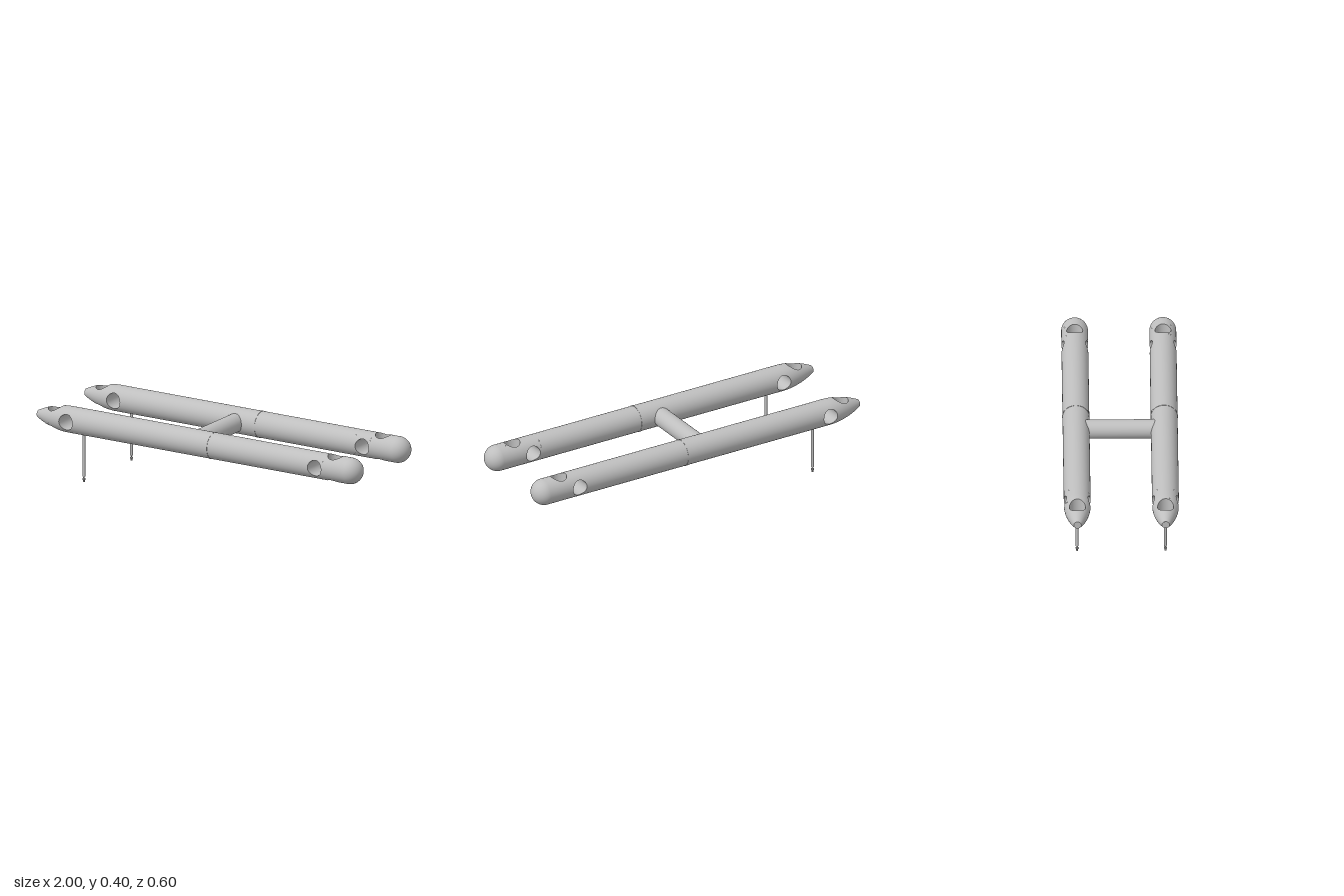
import * as THREE from 'three';

const grey = new THREE.MeshStandardMaterial({ color: 0xbfbfbf });
grey.name = 'light grey';

const R = 0.07, HOLE = 0.042, AXIS_Y = 0.327, HULL_Z = 0.23;
const NOSE_X = -0.8, CAP_X = 0.93, TIP = 0.02;
const OPEN = Math.PI / 3; // half angle of the patch around a hole
const holes = [
  { x: -0.89, from: -0.94, to: -0.84, angle: 0 },
  { x: -0.79, from: -0.84, to: -0.74, angle: Math.PI / 2 },
  { x: 0.75, from: 0.7, to: 0.795, angle: Math.PI / 2 },
  { x: 0.84, from: 0.795, to: 0.89, angle: 0 },
];

// Hull radius along x: blunt ogive nose, straight tube, round cap
function radius(x) {
  if (x < NOSE_X) return TIP + (R - TIP) * (1 - ((NOSE_X - x) / (1 + NOSE_X)) ** 2);
  if (x > CAP_X) return Math.sqrt(Math.max(0, R * R - (x - CAP_X) ** 2));
  return R;
}

const skinPoint = (x, a) =>
  new THREE.Vector3(x, radius(x) * Math.cos(a), radius(x) * Math.sin(a));

function skinNormal(x, a) {
  const lo = Math.max(-1, x - 1e-4), hi = Math.min(1, x + 1e-4);
  const slope = (radius(hi) - radius(lo)) / (hi - lo);
  return new THREE.Vector3(-slope, Math.cos(a), Math.sin(a)).normalize();
}

// Grid surface; fn(i, j) gives [point, normal], triangles turn to face the normal
function gridSurface(rows, cols, fn) {
  const pts = [], nors = [], index = [];
  for (let i = 0; i <= rows; i++)
    for (let j = 0; j <= cols; j++) {
      const [p, n] = fn(i, j);
      pts.push(p);
      nors.push(n);
    }
  const addTri = (a, b, c) => {
    const face = pts[b].clone().sub(pts[a]).cross(pts[c].clone().sub(pts[a]));
    const out = nors[a].clone().add(nors[b]).add(nors[c]);
    if (face.dot(out) >= 0) index.push(a, b, c);
    else index.push(a, c, b);
  };
  for (let i = 0; i < rows; i++)
    for (let j = 0; j < cols; j++) {
      const a = i * (cols + 1) + j, b = a + cols + 1;
      addTri(a, b, a + 1);
      addTri(a + 1, b, b + 1);
    }
  const g = new THREE.BufferGeometry();
  g.setAttribute('position', new THREE.Float32BufferAttribute(pts.flatMap(p => p.toArray()), 3));
  g.setAttribute('normal', new THREE.Float32BufferAttribute(nors.flatMap(n => n.toArray()), 3));
  g.setIndex(index);
  return g;
}

// Skin between rings xs and angles a0..a1
function skin(xs, a0, a1, cols) {
  return gridSurface(xs.length - 1, cols, (i, j) => {
    const a = a0 + (a1 - a0) * j / cols;
    return [skinPoint(xs[i], a), skinNormal(xs[i], a)];
  });
}

// Position (x, angle) on the rim of a hole
function rim(hole, t) {
  const x = hole.x + HOLE * Math.cos(t);
  return [x, Math.asin(Math.min(1, HOLE * Math.sin(t) / radius(x)))];
}

// Skin from a hole's rim out to its rectangular patch
function pierced(hole, centre) {
  return gridSurface(6, 48, (i, j) => {
    const t = j / 48 * Math.PI * 2, k = i / 6;
    const c = Math.cos(t), s = Math.sin(t), m = Math.max(Math.abs(c), Math.abs(s));
    const mid = (hole.from + hole.to) / 2, half = (hole.to - hole.from) / 2;
    const [rx, ra] = rim(hole, t);
    const x = rx + (mid + half * c / m - rx) * k;
    const a = centre + ra + (OPEN * s / m - ra) * k;
    return [skinPoint(x, a), skinNormal(x, a)];
  });
}

// Wall of the bore, running from rim to opposite rim
function bore(hole) {
  return gridSurface(1, 48, (i, j) => {
    const t = j / 48 * Math.PI * 2;
    const [x, a] = rim(hole, t);
    const side = new THREE.Vector3(0, -Math.sin(hole.angle), Math.cos(hole.angle));
    const n = side.multiplyScalar(-Math.sin(t)).setX(-Math.cos(t));
    return [skinPoint(x, hole.angle + (i ? Math.PI - a : a)), n];
  });
}

const steps = (a, b, n) => Array.from({ length: n + 1 }, (_, i) => a + (b - a) * i / n);

function add(parent, name, geometry) {
  const mesh = new THREE.Mesh(geometry, grey);
  mesh.name = name;
  parent.add(mesh);
  return mesh;
}

function makeHull() {
  const hull = new THREE.Group();
  const full = Math.PI * 2;
  add(hull, 'noseTip', new THREE.CircleGeometry(TIP, 32).rotateY(-Math.PI / 2)).position.x = -1;
  add(hull, 'nose', skin(steps(-1, -0.94, 8), 0, full, 48));
  add(hull, 'tube', skin([-0.74, 0.7], 0, full, 48));
  add(hull, 'tailCap', skin([0.89, ...steps(0, Math.PI / 2, 12).map(k => CAP_X + R * Math.sin(k))], 0, full, 48));

  // Drilled sections
  for (const hole of holes) {
    for (const turn of [0, Math.PI]) {
      const c = hole.angle + turn;
      add(hull, 'holeSurround', pierced(hole, c));
      add(hull, 'holeSide', skin(steps(hole.from, hole.to, 12), c + OPEN, c + Math.PI - OPEN, 8));
    }
    add(hull, 'holeWall', bore(hole));
  }

  // Thin joint band
  const band = add(hull, 'jointBand', new THREE.CylinderGeometry(0.0715, 0.0715, 0.012, 48));
  band.rotation.z = Math.PI / 2;
  band.position.x = 0.08;

  // Slim pin with a stepped foot
  const profile = [[0, 0], [0.005, 0], [0.005, 0.008], [0.0085, 0.013], [0.0085, 0.018],
    [0.0035, 0.018], [0.0035, 0.029], [0.008, 0.029], [0.008, 0.27], [0, 0.27]];
  const points = [];
  // Doubled corners keep the edges sharp
  profile.forEach(([x, y]) => points.push(new THREE.Vector2(x, y), new THREE.Vector2(x, y + 1e-5)));
  const pin = add(hull, 'pin', new THREE.LatheGeometry(points, 20));
  pin.position.set(-0.72, -AXIS_Y, 0);
  return hull;
}

export function createModel() {
  const model = new THREE.Group();
  model.name = 'twinHullFrame';
  for (const side of [1, -1]) {
    const hull = makeHull();
    hull.name = side > 0 ? 'frontHull' : 'backHull';
    hull.position.set(0, AXIS_Y, side * HULL_Z);
    model.add(hull);
  }

  // Crossbar joining the hulls
  const bar = add(model, 'crossbar', new THREE.CylinderGeometry(0.05, 0.05, 0.4, 40));
  bar.rotation.x = Math.PI / 2;
  bar.position.set(-0.045, AXIS_Y, 0);
  return model;
}
